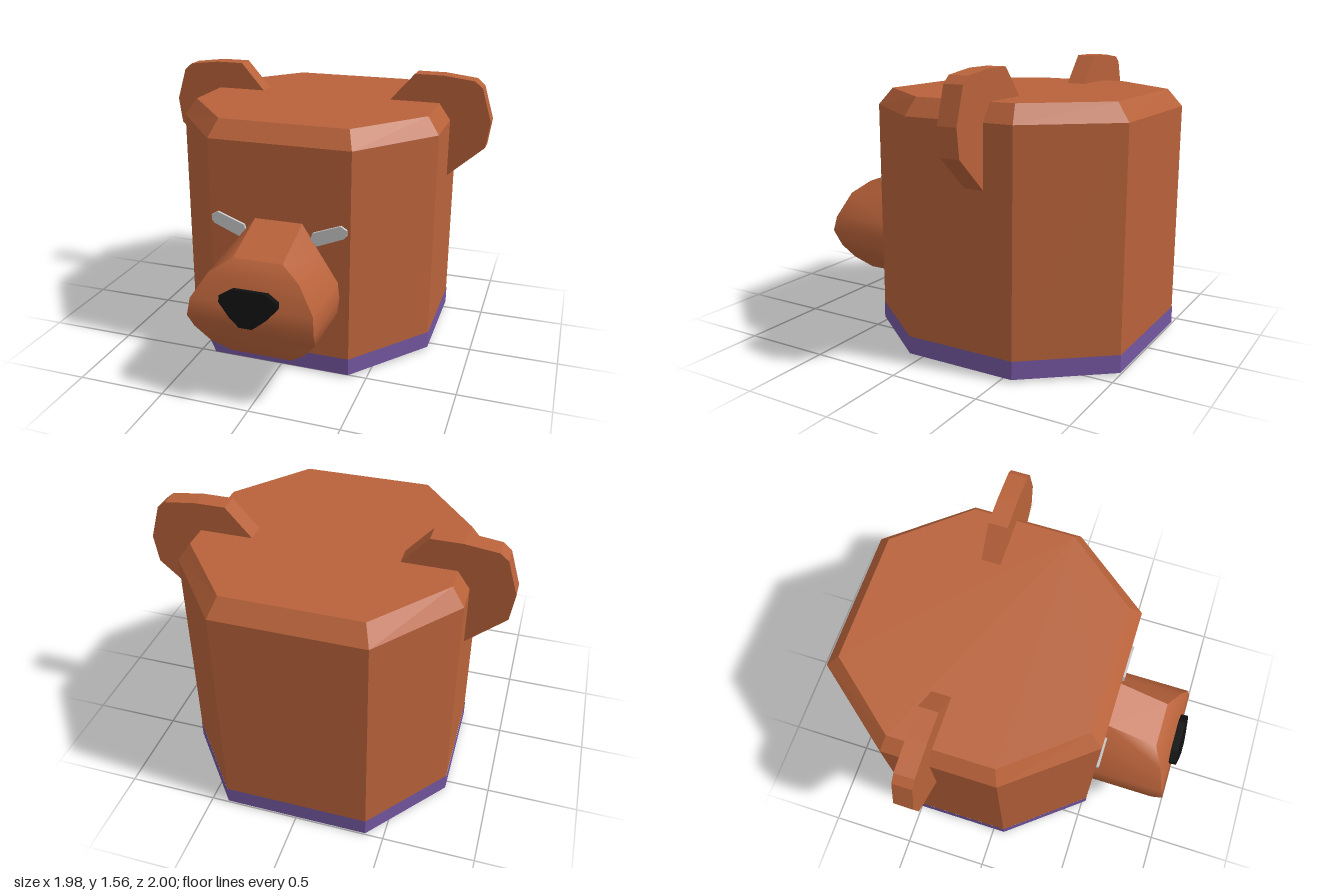
import * as THREE from 'three';
import { mergeGeometries } from 'three/addons/utils/BufferGeometryUtils.js';

const mat = (name, color) => {
  const m = new THREE.MeshStandardMaterial({ color });
  m.name = name;
  return m;
};

function bufferFrom(points, index) {
  const g = new THREE.BufferGeometry();
  g.setAttribute('position', new THREE.Float32BufferAttribute(points.flat(), 3));
  g.setIndex(index);
  return g;
}

// Flat-faced stack of equal-sized loops, bottom to top, with optional caps
function loft(rings, capped) {
  const n = rings[0].length, index = [];
  for (let r = 0; r < rings.length - 1; r++) {
    for (let i = 0; i < n; i++) {
      const a = r * n + i, b = r * n + (i + 1) % n;
      index.push(a, b, b + n, a, b + n, a + n);
    }
  }
  if (capped) {
    const top = (rings.length - 1) * n;
    for (let i = 1; i < n - 1; i++) index.push(top, top + i, top + i + 1, 0, i + 1, i);
  }
  const g = bufferFrom(rings.flat(), index).toNonIndexed();
  g.computeVertexNormals();
  return g;
}

// Smooth strip of quads between two edges
function strip(a, b) {
  const n = a.length, index = [];
  for (let i = 0; i < n - 1; i++) index.push(i, i + 1, n + i + 1, i, n + i + 1, n + i);
  const g = bufferFrom([...a, ...b], index);
  g.computeVertexNormals();
  return g;
}

// Flat outline with thickness, mirrored when side is -1
function plate(outline, depth, side = 1) {
  const shape = new THREE.Shape(outline.map(([x, y]) => new THREE.Vector2(x * side, y)));
  return new THREE.ExtrudeGeometry(shape, { depth, bevelEnabled: false });
}

export function createModel() {
  const model = new THREE.Group();
  const brown = mat('brown fur', 0xb8623a);
  const purple = mat('purple collar', 0x7356a0);
  const grey = mat('pale grey eyes', 0xc8c8c8);
  const black = mat('black nose', 0x101010);
  purple.side = THREE.DoubleSide;

  const add = (name, geometry, material, z = 0) => {
    const mesh = new THREE.Mesh(geometry, material);
    mesh.name = name;
    mesh.position.z = z;
    model.add(mesh);
    return mesh;
  };

  // Octagonal head with bevelled top and bottom
  const ring = (y, x1, x2, zf, zfs, zbs, zb) => [
    [x2, y, zfs], [x2, y, zbs], [x1, y, zb], [-x1, y, zb],
    [-x2, y, zbs], [-x2, y, zfs], [-x1, y, zf], [x1, y, zf],
  ];
  const wide = (y) => ring(y, 0.4, 0.757, 0.52, 0.07, -0.56, -1);
  const inset = (y) => ring(y, 0.365, 0.69, 0.445, 0.045, -0.535, -0.925);
  add('head', loft([inset(0), wide(0.1), wide(1.305), inset(1.4)], true), brown);

  // Open collar band, a hair outside the head
  const band = [0.013, 0.112].map((y) => wide(y).map(([x, h, z]) => [x * 1.003, h, (z + 0.24) * 1.003 - 0.24]));
  add('collar', loft(band, false), purple);

  // Ears and eyes
  const ear = [[0.36, 1.355], [0.54, 1.56], [0.705, 1.56], [0.885, 1.538], [0.93, 1.5],
    [0.988, 1.31], [0.967, 1.157], [0.7, 0.92]];
  const eye = [[0.385, 0.88], [0.35, 0.9], [0.195, 0.842], [0.185, 0.805], [0.22, 0.77],
    [0.37, 0.832], [0.385, 0.85]];
  for (const [label, side] of [['left', 1], ['right', -1]]) {
    add(label + 'Ear', plate(ear, 0.108, side), brown, -0.397);
    add(label + 'Eye', plate(eye, 0.016, side), grey, 0.52);
  }

  // Snout rows from top to bottom: half width, front y, front z, back y
  const rows = [
    [0.135, 0.775, 0.82, 0.885], [0.245, 0.71, 0.885, 0.71], [0.335, 0.57, 0.935, 0.57],
    [0.345, 0.48, 0.957, 0.48], [0.335, 0.39, 0.9, 0.39], [0.26, 0.3, 0.865, 0.3],
    [0.17, 0.22, 0.8, 0.22],
  ];
  const front = (s) => rows.map(([w, y, z]) => [s * w, y, z]);
  const back = (s) => rows.map(([w, , , y]) => [s * w, y, 0.515]);
  const end = rows.length - 1;
  add('snout', mergeGeometries([
    strip(front(-1), front(1)),
    strip(front(1), back(1)),
    strip(back(-1), front(-1)),
    strip([back(-1)[0], front(-1)[0]], [back(1)[0], front(1)[0]]),
    strip([front(-1)[end], back(-1)[end]], [front(1)[end], back(1)[end]]),
  ]), brown);

  // Tilted nose plate, its top edge leaning back
  const half = [[0.095, 0.093], [0.155, 0.055], [0.155, 0.02], [0.09, -0.052], [0.035, -0.095]];
  const outline = [...half, ...half.map(([x, y]) => [-x, y]).reverse()];
  const nose = add('nose', plate(outline, 0.042), black, 0.938);
  nose.position.y = 0.565;
  nose.rotation.x = -0.22;

  return model;
}
